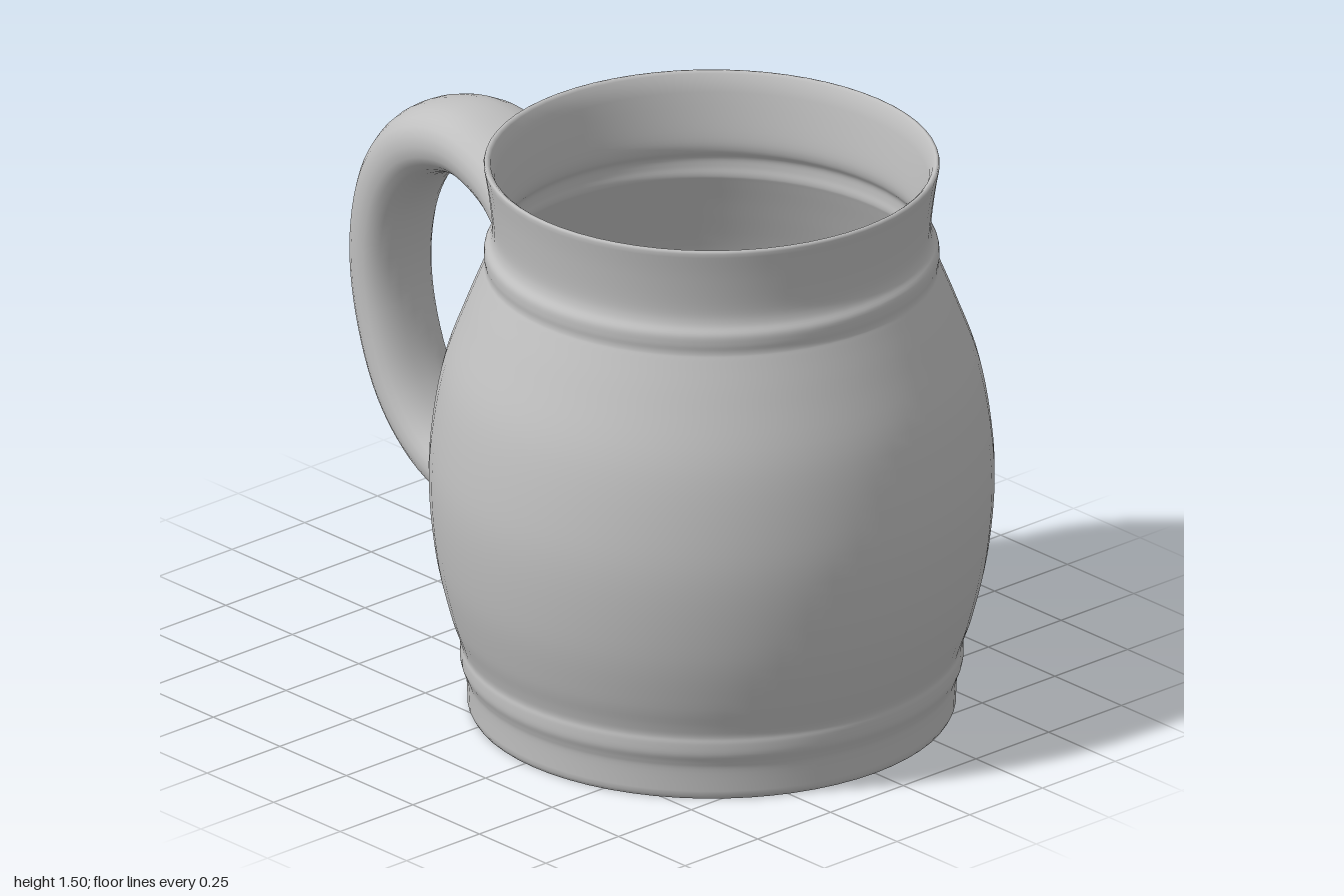
import * as THREE from 'three';

const BODY_X = 0.28;
const v2 = ([x, y]) => new THREE.Vector2(x, y);
const spline = (pts, n) => new THREE.SplineCurve(pts.map(v2)).getPoints(n);

// Outer wall from foot to rim (radius, height), with a raised band near each end
const outerWall = spline([
  [0.62, 0.012], [0.623, 0.08], [0.629, 0.105], [0.638, 0.13], [0.639, 0.16], [0.637, 0.18],
  [0.645, 0.21], [0.668, 0.28], [0.7, 0.42], [0.718, 0.6], [0.712, 0.75], [0.682, 0.93],
  [0.625, 1.09], [0.585, 1.19], [0.576, 1.215], [0.578, 1.24], [0.576, 1.265], [0.561, 1.29],
  [0.557, 1.33], [0.567, 1.42], [0.579, 1.492],
], 90);

// Radius of the outer wall at a given height
function wallRadius(y) {
  const i = Math.max(1, outerWall.findIndex((p) => p.y >= y));
  const a = outerWall[i - 1], b = outerWall[i];
  return THREE.MathUtils.mapLinear(y, a.y, b.y, a.x, b.x);
}

function makeBody(material) {
  const underside = [[0, 0.09], [0.38, 0.09], [0.44, 0.085], [0.5, 0.066], [0.55, 0.038],
    [0.585, 0.01], [0.6, 0.001], [0.614, 0.001]].map(v2);
  const rim = [[0.577, 1.499], [0.57, 1.5], [0.562, 1.494]].map(v2);
  const innerWall = outerWall.filter((p) => p.y > 0.27 && p.y < 1.48).reverse()
    .map((p) => new THREE.Vector2(p.x - 0.022, p.y));
  const floor = [[0.615, 0.22], [0.58, 0.17], [0.53, 0.138], [0.47, 0.12], [0.4, 0.115], [0, 0.115]].map(v2);
  const geometry = new THREE.LatheGeometry([...underside, ...outerWall, ...rim, ...innerWall, ...floor], 64);
  const body = new THREE.Mesh(geometry, material);
  body.name = 'mugBody';
  body.position.x = BODY_X;
  return body;
}

// Handle lofted between its outer and inner edge curves; z of the outer curve holds the half width
function makeHandle(material) {
  const curve = (pts) => new THREE.CatmullRomCurve3(pts.map(([x, y, w = 0]) => new THREE.Vector3(x, y, w)));
  const outer = curve([
    [-0.27, 1.28, 0.2], [-0.42, 1.335, 0.16], [-0.62, 1.37, 0.142], [-0.81, 1.31, 0.135],
    [-0.94, 1.16, 0.128], [-1, 0.93, 0.12], [-0.98, 0.7, 0.115], [-0.89, 0.48, 0.115],
    [-0.76, 0.345, 0.115], [-0.56, 0.25, 0.12], [-0.36, 0.14, 0.145],
  ]);
  const inner = curve([
    [-0.33, 1.085], [-0.45, 1.155], [-0.58, 1.19], [-0.72, 1.145], [-0.81, 1.04], [-0.85, 0.9],
    [-0.845, 0.75], [-0.785, 0.57], [-0.69, 0.46], [-0.53, 0.395], [-0.44, 0.41],
  ]);
  const rings = 60, sides = 24;
  const positions = [], indices = [];
  const soften = (v) => Math.sign(v) * Math.abs(v) ** 0.88;
  for (let i = 0; i <= rings; i++) {
    const o = outer.getPoint(i / rings), n = inner.getPoint(i / rings);
    for (let j = 0; j < sides; j++) {
      const angle = (j / sides) * Math.PI * 2;
      const k = (1 + soften(Math.cos(angle))) / 2;
      let x = n.x + (o.x - n.x) * k;
      const y = n.y + (o.y - n.y) * k;
      const z = o.z * soften(Math.sin(angle));
      // Both ends follow the curved wall
      if (i === 0 || i === rings) x = BODY_X + 0.008 - Math.sqrt(wallRadius(y) ** 2 - z * z);
      positions.push(x, y, z);
      if (i < rings) {
        const a = i * sides + j, b = i * sides + ((j + 1) % sides);
        indices.push(a, a + sides, b, b, a + sides, b + sides);
      }
    }
  }
  const geometry = new THREE.BufferGeometry();
  geometry.setAttribute('position', new THREE.Float32BufferAttribute(positions, 3));
  geometry.setIndex(indices);
  geometry.computeVertexNormals();
  const handle = new THREE.Mesh(geometry, material);
  handle.name = 'handle';
  return handle;
}

export function createModel() {
  const ceramic = new THREE.MeshStandardMaterial({ color: 0xc0c0c0 });
  ceramic.name = 'greyCeramic';
  const mug = new THREE.Group();
  mug.name = 'mug';
  mug.add(makeBody(ceramic), makeHandle(ceramic));
  return mug;
}
